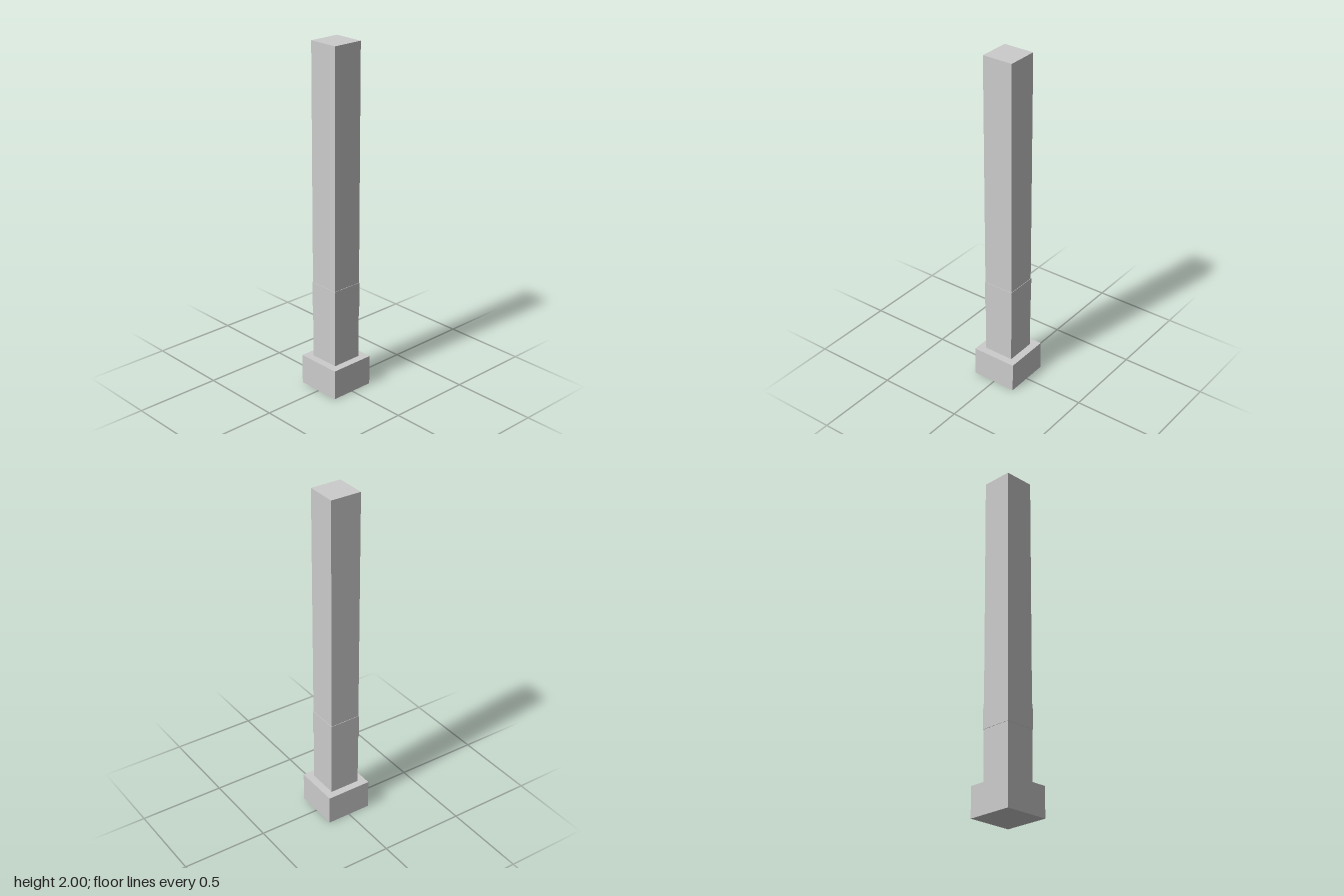
import * as THREE from 'three';

export function createModel() {
  const group = new THREE.Group();
  const material = new THREE.MeshStandardMaterial({ color: 0xcccccc, flatShading: true });

  // Square block from height y0 to y1
  const addBlock = (name, width, y0, y1) => {
    const mesh = new THREE.Mesh(new THREE.BoxGeometry(width, y1 - y0, width), material);
    mesh.name = name;
    mesh.position.y = (y0 + y1) / 2;
    group.add(mesh);
  };

  addBlock('base', 0.27, 0, 0.175);
  addBlock('shaft', 0.181, 0.175, 2);
  // Slightly proud sleeve around the lower shaft
  addBlock('band', 0.186, 0.487, 0.632);

  return group;
}
